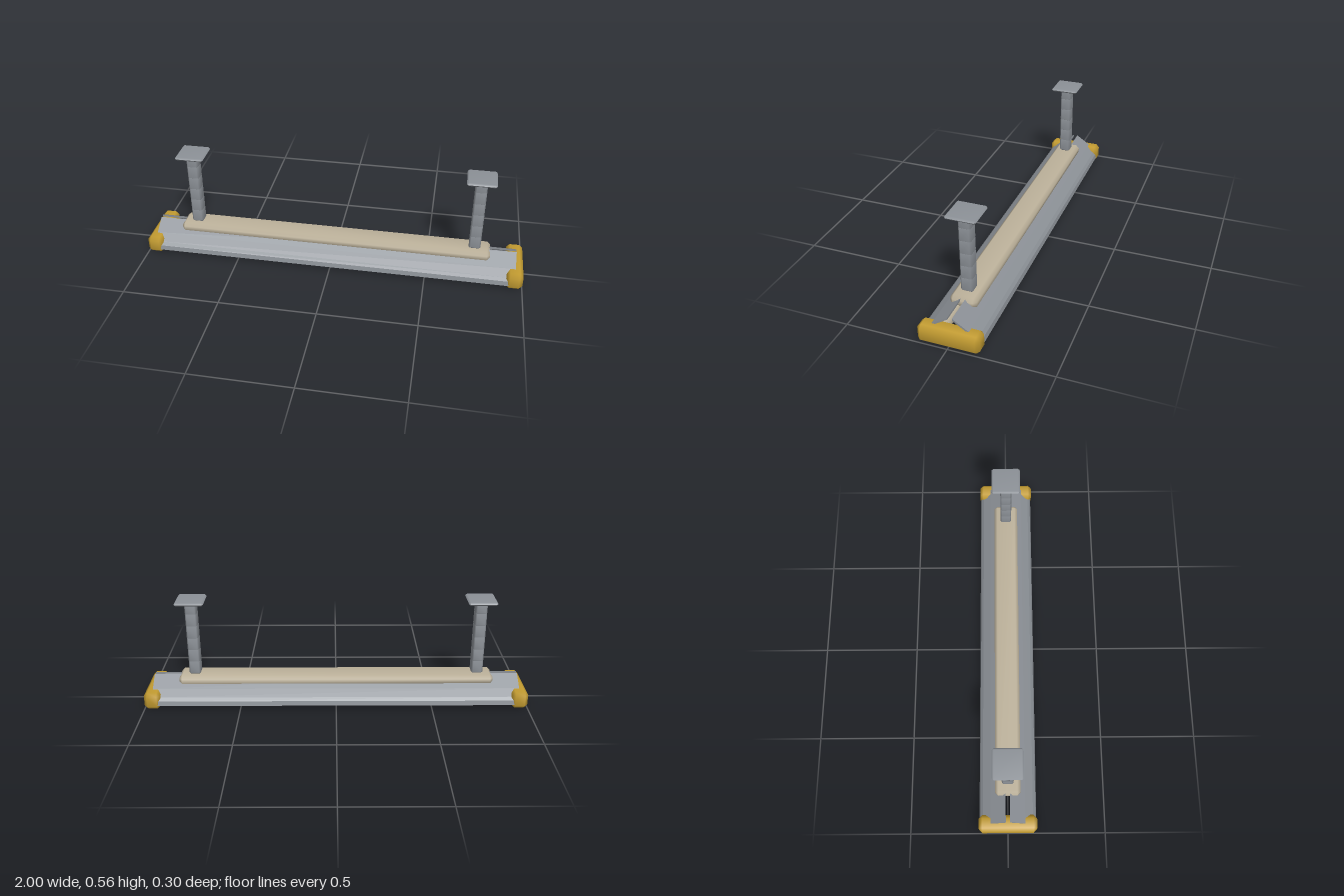
import * as THREE from 'three';
import { ConvexGeometry } from 'three/addons/geometries/ConvexGeometry.js';
import { mergeVertices } from 'three/addons/utils/BufferGeometryUtils.js';

const grey = new THREE.MeshStandardMaterial({ name: 'painted steel grey', color: 0x8c9197 });
const beige = new THREE.MeshStandardMaterial({ name: 'warm beige', color: 0xbdb29b });
const yellow = new THREE.MeshStandardMaterial({ name: 'mustard yellow', color: 0xc39c31 });

// Box with a single chamfer on every edge and softened normals
function chamferBox(w, h, d, c) {
  const [x, y, z] = [w / 2, h / 2, d / 2];
  const points = [];
  for (const sx of [-1, 1]) for (const sy of [-1, 1]) for (const sz of [-1, 1]) {
    points.push(
      new THREE.Vector3(sx * x, sy * (y - c), sz * (z - c)),
      new THREE.Vector3(sx * (x - c), sy * y, sz * (z - c)),
      new THREE.Vector3(sx * (x - c), sy * (y - c), sz * z));
  }
  let geo = new ConvexGeometry(points);
  geo.deleteAttribute('normal');
  geo = mergeVertices(geo, 1e-5);
  geo.computeVertexNormals();
  return geo;
}

function add(parent, name, geo, material, x = 0, y = 0, z = 0) {
  const mesh = new THREE.Mesh(geo, material);
  mesh.name = name;
  mesh.position.set(x, y, z);
  parent.add(mesh);
  return mesh;
}

// One sloping half of the reflector, extruded along x
function shadeHalf(side) {
  const outer = [[0.011, 0.143], [0.088, 0.092], [0.128, 0.062], [0.141, 0.046], [0.146, 0.022]];
  const inner = [[0.138, 0.022], [0.134, 0.042], [0.122, 0.055], [0.083, 0.084], [0.011, 0.132]];
  const shape = new THREE.Shape([...outer, ...inner].map(([z, y]) => new THREE.Vector2(-side * z, y)));
  const geo = new THREE.ExtrudeGeometry(shape, { depth: 1.92, bevelEnabled: false });
  geo.translate(0, 0, -0.96);
  geo.rotateY(Math.PI / 2);
  return geo;
}

export function createModel() {
  const model = new THREE.Group();
  model.name = 'hangingTubeLamp';

  // Reflector halves with a narrow slot at the ridge, and a tube under each
  for (const side of [-1, 1]) {
    const label = side > 0 ? 'front' : 'back';
    add(model, label + 'Shade', shadeHalf(side), grey);
    const tube = new THREE.CylinderGeometry(0.035, 0.035, 1.88, 20);
    tube.rotateZ(Math.PI / 2);
    add(model, label + 'Tube', tube, beige, 0, 0.04, side * 0.068);
  }

  // Housing along the ridge
  add(model, 'ridgeHousing', chamferBox(1.65, 0.055, 0.13, 0.016), beige, 0, 0.1225, 0);

  // Caps and suspension at both ends
  const capGeo = chamferBox(0.085, 0.091, 0.298, 0.018);
  const linkGeo = chamferBox(0.06, 0.078, 0.06, 0.008);
  const plateGeo = chamferBox(0.148, 0.018, 0.148, 0.0085);
  for (const side of [-1, 1]) {
    const label = side > 0 ? 'left' : 'right';
    add(model, label + 'EndCap', capGeo, yellow, side * 0.9575, 0.0455, 0);

    const hanger = new THREE.Group();
    hanger.name = label + 'Hanger';
    hanger.position.x = side * 0.743;
    for (let i = 0; i < 6; i++) add(hanger, 'postSegment', linkGeo, grey, 0, 0.189 + i * 0.0663, 0);
    add(hanger, 'ceilingPlate', plateGeo, grey, 0, 0.554, 0);
    model.add(hanger);
  }
  return model;
}
